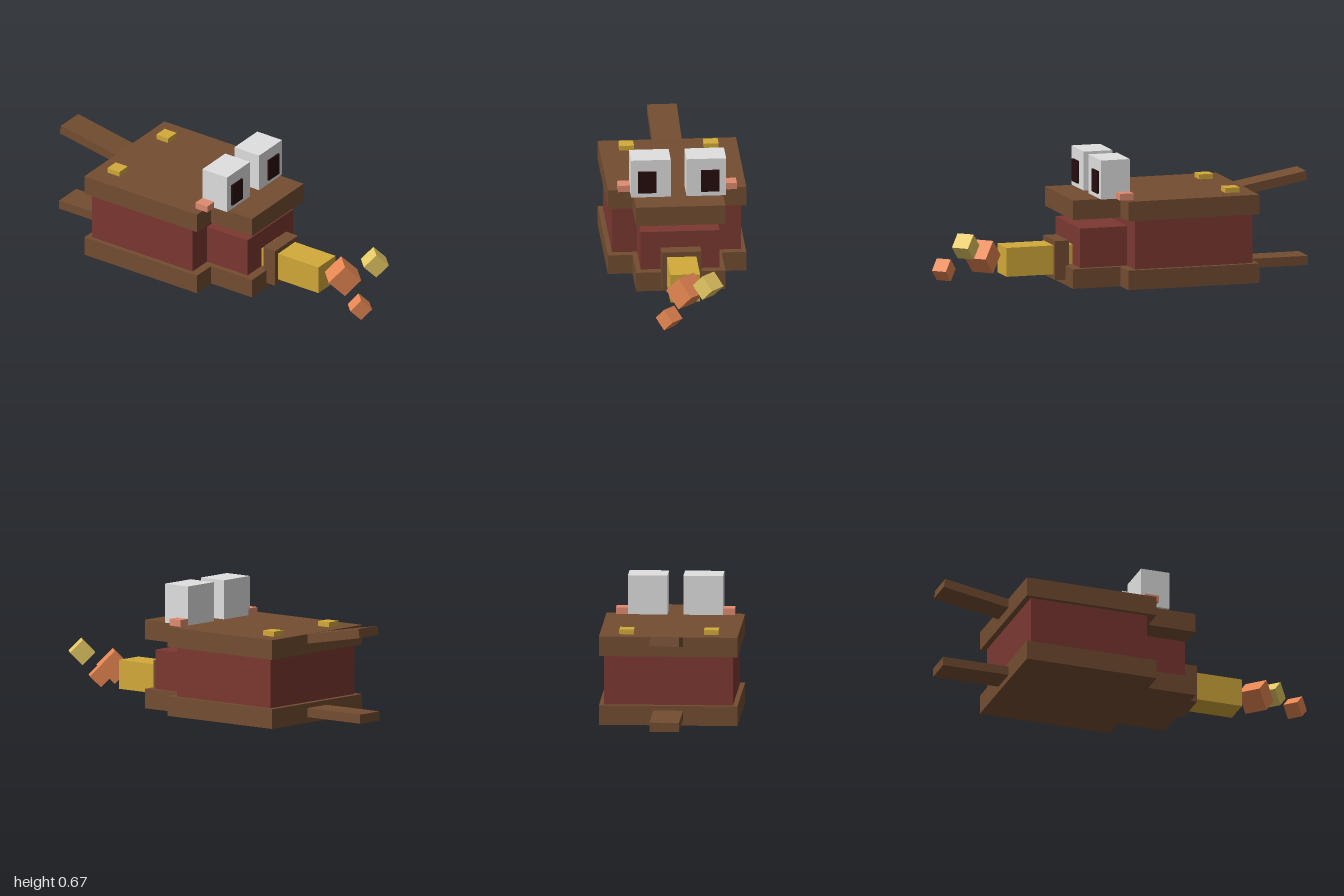
import * as THREE from 'three';

const mat = (name, color) => {
  const m = new THREE.MeshStandardMaterial({ color });
  m.name = name;
  return m;
};

export function createModel() {
  const wood = mat('brown wood', 0x734d31);
  const leather = mat('red leather', 0x7c3831);
  const brass = mat('brass', 0xd3aa39);
  const white = mat('eye white', 0xe0e0e0);
  const dark = mat('pupil dark', 0x260d0f);
  const pink = mat('cheek pink', 0xe08b70);
  const orange = mat('ember orange', 0xee8b55);
  const yellow = mat('ember yellow', 0xe9cb65);

  const model = new THREE.Group();
  model.name = 'bellows';

  // Box given by its minimum and maximum on each axis
  const box = (name, material, [x0, x1], [y0, y1], [z0, z1], parent = model) => {
    const mesh = new THREE.Mesh(new THREE.BoxGeometry(x1 - x0, y1 - y0, z1 - z0), material);
    mesh.position.set((x0 + x1) / 2, (y0 + y1) / 2, (z0 + z1) / 2);
    mesh.name = name;
    parent.add(mesh);
    return mesh;
  };

  // Upper and lower boards, stepped in at the front
  for (const [name, y] of [['lowerBoard', [0, 0.103]], ['upperBoard', [0.362, 0.465]]]) {
    const board = new THREE.Group();
    board.name = name;
    box(name + 'Main', wood, [-0.36, 0.36], y, [-0.64, 0.075], board);
    box(name + 'Front', wood, [-0.232, 0.232], y, [0.075, 0.335], board);
    model.add(board);
  }

  // Leather bag between the boards
  box('bagMain', leather, [-0.335, 0.335], [0.103, 0.362], [-0.61, 0.03]);
  box('bagFront', leather, [-0.205, 0.205], [0.103, 0.31], [0.03, 0.287]);

  // Nozzle with its collar
  box('nozzleCollar', wood, [-0.103, 0.103], [0.028, 0.233], [0.315, 0.39]);
  box('nozzle', brass, [-0.077, 0.077], [0.055, 0.207], [0.28, 0.647]);

  // Handles: the lower level, the upper tilted
  box('lowerHandle', wood, [-0.077, 0.077], [0.03, 0.078], [-1, -0.62]);
  const handle = box('upperHandle', wood, [-0.077, 0.077], [0.445, 0.493], [-0.995, -0.615]);
  handle.position.set(0, 0.469, -0.805);
  handle.rotation.x = THREE.MathUtils.degToRad(10);

  // Eyes, cheeks and studs, mirrored
  for (const [side, s] of [['left', 1], ['right', -1]]) {
    const pair = (a, b) => (s > 0 ? [a, b] : [-b, -a]);
    box(side + 'Eye', white, pair(0.041, 0.247), [0.465, 0.67], [0.03, 0.187]);
    box(side + 'Pupil', dark, pair(0.117, 0.211), [0.49, 0.608], [0.187, 0.1965]);
    box(side + 'Cheek', pink, pair(0.235, 0.309), [0.465, 0.5], [0.03, 0.105]);
    box(side + 'Stud', brass, pair(0.182, 0.258), [0.465, 0.491], [-0.566, -0.49]);
  }

  // Embers blown from the nozzle, each standing on an edge
  const embers = [
    ['largeEmber', orange, 0.121, -0.003, 0.156, 0.751],
    ['yellowEmber', yellow, 0.093, 0.102, 0.232, 0.879],
    ['smallEmber', orange, 0.081, -0.105, 0.078, 0.93],
  ];
  for (const [name, material, size, x, y, z] of embers) {
    const ember = new THREE.Mesh(new THREE.BoxGeometry(size, size, size), material);
    ember.name = name;
    ember.position.set(x, y, z);
    ember.rotation.set(Math.PI / 4, Math.PI / 4, 0, 'YXZ');
    model.add(ember);
  }

  return model;
}
